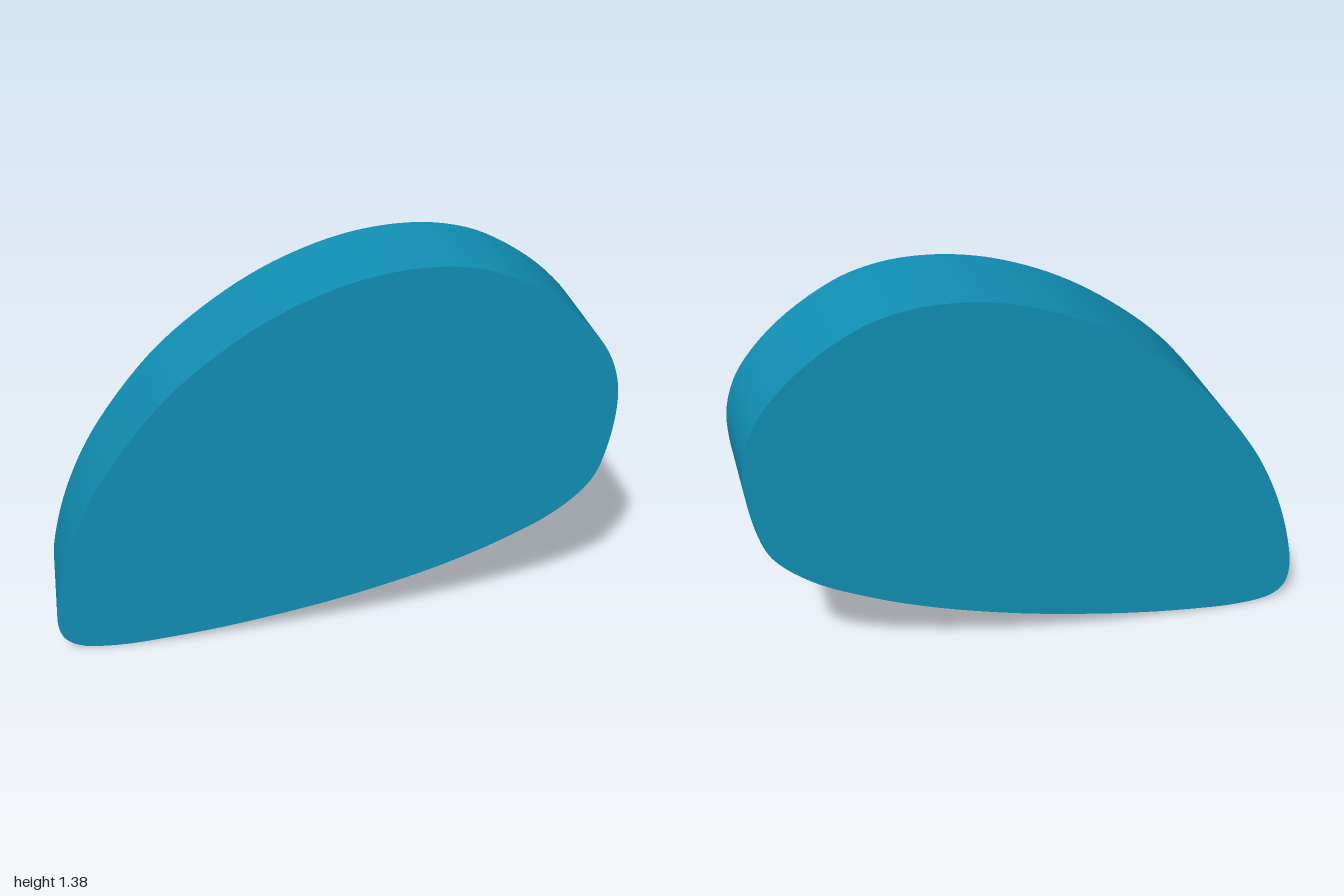
import * as THREE from 'three';
import { toCreasedNormals } from 'three/addons/utils/BufferGeometryUtils.js';

// Outline of the slab, clockwise from the lower left tip
const OUTLINE = [
  [-1, 0.13], [-0.97, 0.31], [-0.9, 0.51], [-0.8, 0.695], [-0.6, 0.95], [-0.4, 1.12],
  [-0.2, 1.245], [0, 1.328], [0.16, 1.367], [0.32, 1.38], [0.46, 1.367], [0.6, 1.323],
  [0.8, 1.195], [0.94, 1.04], [0.99, 0.92], [1, 0.81], [0.973, 0.63], [0.925, 0.51],
  [0.8, 0.395], [0.6, 0.292], [0.4, 0.215], [0.2, 0.155], [0, 0.106], [-0.2, 0.067],
  [-0.4, 0.035], [-0.6, 0.012], [-0.8, 0], [-0.93, 0.016], [-0.982, 0.055],
];
const DEPTH = 0.41;

export function createModel() {
  const group = new THREE.Group();
  group.name = 'roundedSlab';

  // Smooth closed curve through the outline
  const curve = new THREE.CatmullRomCurve3(
    OUTLINE.map(([x, y]) => new THREE.Vector3(x, y, 0)), true, 'centripetal');
  const points = curve.getPoints(OUTLINE.length * 5).slice(0, -1);
  const shape = new THREE.Shape(points.map((p) => new THREE.Vector2(p.x, p.y)));

  // Flat faces with a smooth rim
  const geometry = new THREE.ExtrudeGeometry(shape, { depth: DEPTH, bevelEnabled: false });
  geometry.translate(0, 0, -DEPTH / 2);
  const slab = new THREE.Mesh(
    toCreasedNormals(geometry, Math.PI / 4),
    new THREE.MeshStandardMaterial({ color: 0x1190b5 }));
  slab.name = 'slab';
  group.add(slab);
  return group;
}
